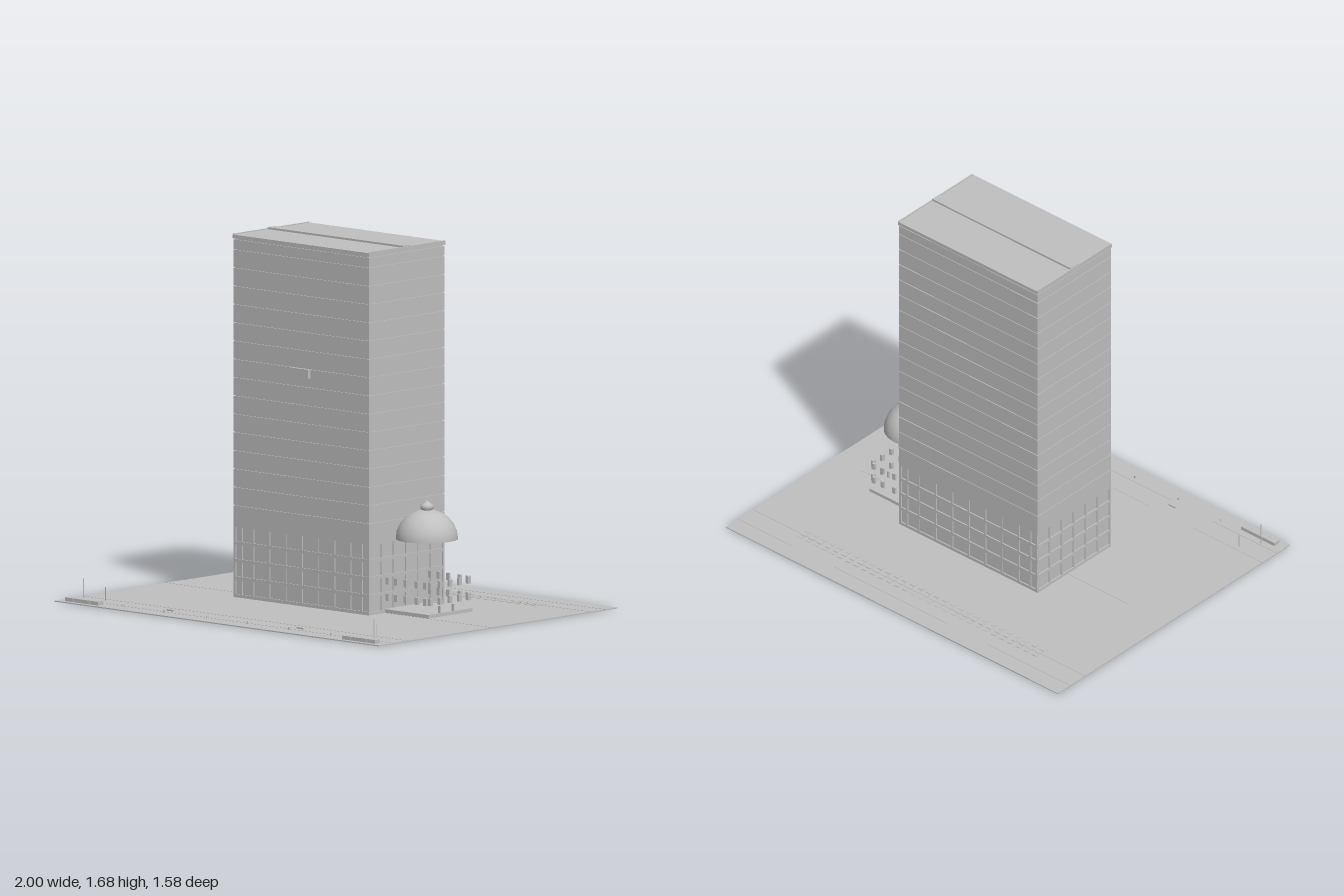
import * as THREE from 'three';

export function createModel() {
  const model = new THREE.Group();
  const concrete = new THREE.MeshStandardMaterial({ color: 0xc0c0c0, side: THREE.DoubleSide });
  concrete.name = 'pale grey concrete';

  const group = (name, parent = model) => {
    const g = new THREE.Group();
    g.name = name;
    parent.add(g);
    return g;
  };
  const add = (name, geo, parent, x = 0, y = 0, z = 0) => {
    const m = new THREE.Mesh(geo, concrete);
    m.name = name;
    m.position.set(x, y, z);
    parent.add(m);
    return m;
  };
  // Box given by its limits on each axis
  const box = (name, parent, x0, x1, y0, y1, z0, z1) =>
    add(name, new THREE.BoxGeometry(x1 - x0, y1 - y0, z1 - z0), parent,
      (x0 + x1) / 2, (y0 + y1) / 2, (z0 + z1) / 2);

  // Plaza with kerbs and a cross path
  const plaza = group('plaza');
  box('ground', plaza, -1, 1, 0, 0.005, -0.79, 0.79);
  for (const z of [-0.705, -0.605, 0.6, 0.7])
    box('kerb', plaza, -1, 1, 0.004, 0.006, z - 0.002, z + 0.002);
  box('crossPath', plaza, -1, 1, 0.004, 0.006, -0.05, 0.05);

  // Tower: recessed core wrapped by floor bands
  const tower = group('tower');
  const X = 0.417, ZB = -0.27, ZF = 0.23, ZC = (ZB + ZF) / 2;
  box('core', tower, -X + 0.006, X - 0.006, 0.02, 1.66, ZB + 0.006, ZF - 0.006);
  const band = (name, y0, y1) => box(name, tower, -X, X, y0, y1, ZB, ZF);
  const step = 0.0833;
  for (let i = 0; i < 16; i++) {
    const y0 = i ? 0.345 + 0.0125 + (i - 1) * step + 0.083 : 0.345;
    const y1 = 0.345 + 0.0125 + i * step + 0.08;
    band('floorBand', y0, Math.min(y1, 1.65));
  }

  // Four podium storeys with slabs and piers
  for (let i = 0; i <= 4; i++) band('podiumSlab', 0.02 + i * 0.08, 0.035 + i * 0.08);
  const pierXs = [-0.41, -0.37, -0.3, -0.2, -0.1, 0, 0.1, 0.2, 0.3, 0.37, 0.41];
  for (const x of pierXs)
    for (const z of [ZB + 0.004, ZF - 0.004])
      box('podiumPier', tower, x - 0.005, x + 0.005, 0.02, 0.345, z - 0.004, z + 0.004);
  for (let i = 0; i <= 6; i++) {
    const z = ZB + 0.006 + (i / 6) * (ZF - ZB - 0.012);
    for (const s of [-1, 1])
      box('podiumPier', tower, s * (X - 0.004) - 0.004, s * (X - 0.004) + 0.004, 0.02, 0.345, z - 0.005, z + 0.005);
  }

  // Roof slab, end parapets and raised central strip
  box('roofSlab', tower, -X - 0.003, X + 0.003, 1.655, 1.672, ZB - 0.003, ZF + 0.003);
  box('roofStrip', tower, -X, X, 1.67, 1.681, -0.045, 0.005);
  for (const s of [-1, 1])
    box('roofParapet', tower, s * X - 0.003, s * X + 0.003, 1.67, 1.676, ZB, ZF);

  // Blank panel on the front
  box('frontPanel', tower, -0.057, 0.057, 1.065, 1.105, ZF, 0.245);

  // Pavilion: plinth, loose window blocks and floating dome
  const pavilion = group('pavilion');
  const PX = 0.54, PZ = -0.022;
  box('plinth', pavilion, 0.41, 0.685, 0.022, 0.038, -0.168, 0.124);
  for (const z of [-0.045, 0.045])
    box('doorPost', pavilion, 0.675, 0.685, 0.038, 0.07, z - 0.004, z + 0.004);
  for (const y of [0.093, 0.168]) {
    for (const x of [0.43, 0.482, 0.54, 0.61, 0.662])
      for (const z of [0.119, -0.163])
        box('pavilionWindow', pavilion, x - 0.009, x + 0.009, y - 0.016, y + 0.016, z - 0.006, z + 0.006);
    for (const z of [0.105, 0.043, -0.022, -0.085, -0.145])
      box('pavilionWindow', pavilion, 0.674, 0.688, y - 0.016, y + 0.016, z - 0.009, z + 0.009);
  }
  add('dome', new THREE.SphereGeometry(0.142, 20, 6, 0, Math.PI * 2, 0, Math.PI / 2), pavilion, PX, 0.355, PZ)
    .scale.y = 0.95;
  const finial = [[0.022, 0.48], [0.022, 0.488], [0.031, 0.492], [0.031, 0.508], [0.02, 0.514], [0.008, 0.524], [0, 0.53]]
    .map(([r, y]) => new THREE.Vector2(r, y));
  add('finial', new THREE.LatheGeometry(finial, 12), pavilion, PX, 0, PZ);

  // Car row along the back, each bay made of three low blocks
  const parking = group('parking');
  for (let i = 0; i < 30; i++) {
    const x = -0.718 + i * 0.0487;
    for (const [z0, z1] of [[-0.637, -0.615], [-0.612, -0.586], [-0.583, -0.561]])
      box('parkedBlock', parking, x - 0.013, x + 0.013, 0.004, 0.007, z0, z1);
  }

  // Front planters, lamp posts, benches and bollards, mirrored
  const street = group('streetFurniture');
  const post = (name, x, z, h, r) =>
    add(name, new THREE.CylinderGeometry(r, r, h, 8), street, x, h / 2 + 0.003, z);
  for (const s of [-1, 1]) {
    for (let i = 0; i < 4; i++) {
      const x = s * (0.777 + i * 0.051);
      box('planter', street, x - 0.0245, x + 0.0245, 0.004, 0.022, 0.733, 0.767);
    }
    post('tallPost', s * 0.895, 0.71, 0.106, 0.0025);
    post('shortPost', s * 0.835, 0.627, 0.063, 0.002);
    box('bench', street, s * 0.4 - 0.02, s * 0.4 + 0.02, 0.004, 0.012, 0.661, 0.669);
    for (const x of [0.125, 0.385, 0.64]) post('bollard', s * x, 0.722, 0.015, 0.003);
  }
  return model;
}
